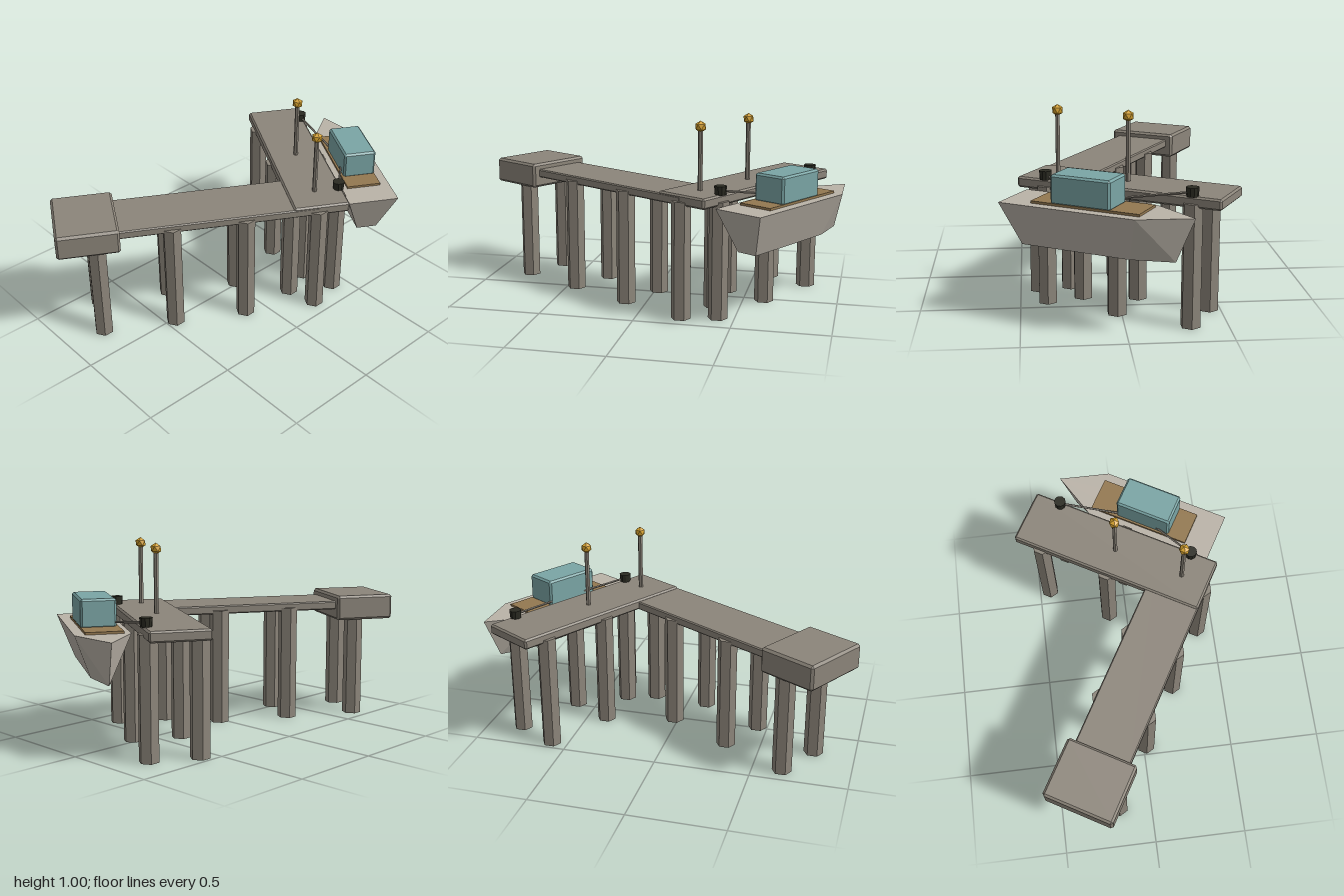
import * as THREE from 'three';
import { ConvexGeometry } from 'three/addons/geometries/ConvexGeometry.js';

const mat = (name, color) => {
  const m = new THREE.MeshStandardMaterial({ color, flatShading: true });
  m.name = name;
  return m;
};

// Box with flat chamfers on every edge, given by its min and max corners
function chamferBox(min, max, c) {
  const points = [];
  const mid = min.map((v, i) => (v + max[i]) / 2);
  const half = min.map((v, i) => (max[i] - v) / 2);
  for (const sx of [-1, 1]) for (const sy of [-1, 1]) for (const sz of [-1, 1]) {
    const s = [sx, sy, sz];
    for (let full = 0; full < 3; full++) {
      points.push(new THREE.Vector3(...s.map((v, i) => mid[i] + v * (half[i] - (i === full ? 0 : c)))));
    }
  }
  return new ConvexGeometry(points);
}

export function createModel() {
  const model = new THREE.Group();
  model.name = 'pier';
  model.rotation.y = -Math.PI / 6;

  const stone = mat('weathered grey', 0x8c857a);
  const hullPaint = mat('pale hull grey', 0xbab3a8);
  const cabinPaint = mat('teal', 0x7aa5a5);
  const wood = mat('brown wood', 0x937850);
  const iron = mat('black iron', 0x2b2b22);
  const glow = mat('amber', 0xd9a42e);

  const add = (name, geometry, material, x = 0, y = 0, z = 0) => {
    const mesh = new THREE.Mesh(geometry, material);
    mesh.name = name;
    mesh.position.set(x, y, z);
    model.add(mesh);
    return mesh;
  };

  // Decks
  add('walkway', chamferBox([-0.05, 0.595, -0.41], [0.258, 0.64, 0.66], 0.006), stone);
  add('crossDeck', chamferBox([-0.826, 0.595, -0.565], [0.257, 0.65, -0.264], 0.009), stone);
  add('endPlatform', chamferBox([-0.088, 0.537, 0.65], [0.297, 0.672, 0.974], 0.012), stone);

  // Hexagonal pilings in pairs under both decks
  const pileGeometry = new THREE.CylinderGeometry(0.051, 0.051, 0.615, 6);
  const pile = (x, z) => {
    add('piling', pileGeometry, stone, x, 0.3075, z).rotation.y = Math.PI / 6;
  };
  for (const side of [-1, 1]) {
    for (const z of [0.768, 0.379, -0.01, -0.4]) pile(0.104 + side * 0.13, z);
    for (const x of [-0.675, -0.285, 0.105]) pile(x, -0.414 + side * 0.125);
  }

  // Lamp posts
  const bulbGeometry = new THREE.IcosahedronGeometry(0.03, 0);
  bulbGeometry.rotateX(-Math.atan((1 + Math.sqrt(5)) / 2));
  for (const x of [-0.285, 0.105]) {
    add('lampPost', new THREE.CylinderGeometry(0.0125, 0.0125, 0.32, 6), stone, x, 0.8, -0.413)
      .rotation.y = Math.PI / 6;
    add('lamp', bulbGeometry, glow, x, 0.975, -0.413).rotation.y = Math.PI / 6;
  }

  // Bollards with mooring ropes running to the boat
  const moorings = [[-0.675, -0.35], [0.105, -0.15]];
  for (const [x, endX] of moorings) {
    add('bollard', new THREE.CylinderGeometry(0.032, 0.029, 0.045, 10), iron, x, 0.67, -0.546);
    const rope = new THREE.LineCurve3(
      new THREE.Vector3(x, 0.668, -0.546), new THREE.Vector3(endX, 0.625, -0.64));
    add('mooringRope', new THREE.TubeGeometry(rope, 1, 0.006, 5), stone);
  }

  // Boat hull: pointed outline at the gunwale, narrower at the keel
  const outline = (y, stern, shoulder, bow, halfWidth) => [
    [stern, -halfWidth], [stern, halfWidth], [shoulder, -halfWidth], [shoulder, halfWidth], [bow, 0],
  ].map(([x, z]) => new THREE.Vector3(x, y, z - 0.722));
  add('hull', new ConvexGeometry([
    ...outline(0.595, 0.19, -0.52, -0.76, 0.137),
    ...outline(0.375, 0.11, -0.46, -0.667, 0.055),
  ]), hullPaint);

  // Boat deck boards and cabin
  add('boatDeck', new THREE.BoxGeometry(0.562, 0.014, 0.187), wood, -0.239, 0.6, -0.714);
  add('cabin', chamferBox([-0.373, 0.6, -0.808], [-0.062, 0.745, -0.63], 0.01), cabinPaint);

  const root = new THREE.Group();
  root.name = 'pierWithBoat';
  root.add(model);
  return root;
}
